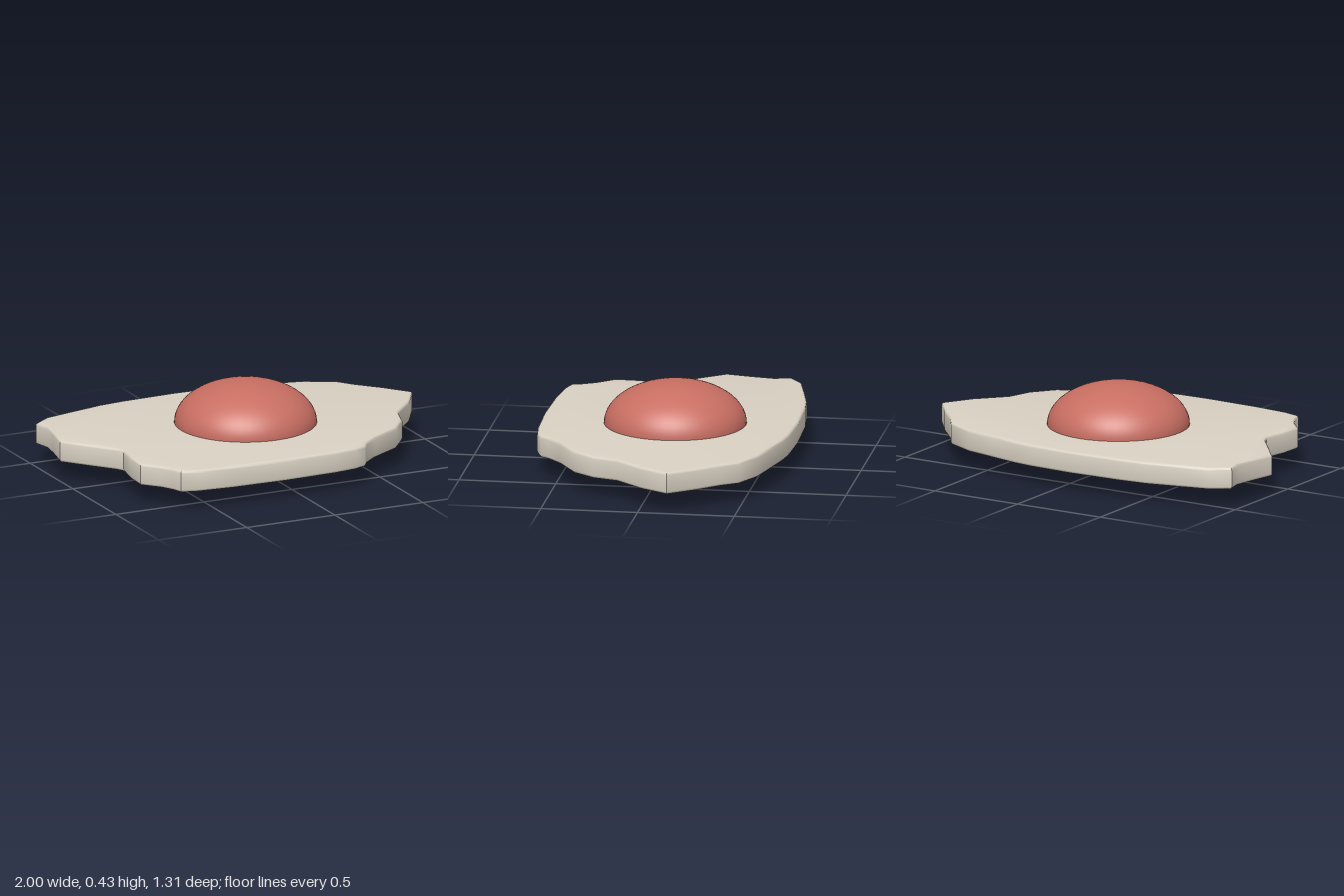
import * as THREE from 'three';
import { toCreasedNormals } from 'three/addons/utils/BufferGeometryUtils.js';

export function createModel() {
  const group = new THREE.Group();
  const white = new THREE.MeshStandardMaterial({ name: 'eggWhite', color: 0xd9d1c3 });
  const red = new THREE.MeshStandardMaterial({ name: 'yolkRed', color: 0xc86e62 });

  // Irregular slab outline as [x, z] points
  const outline = [
    [-1, -0.15], [-0.97, -0.29], [-0.952, -0.4], [-0.972, -0.49], [-0.88, -0.557],
    [-0.7, -0.6], [-0.54, -0.635], [-0.4, -0.65], [-0.1, -0.66], [0.15, -0.65],
    [0.25, -0.635], [0.42, -0.597], [0.58, -0.56], [0.73, -0.485], [0.79, -0.4],
    [0.9, -0.28], [1, -0.15], [0.91, 0], [0.78, 0.14], [0.74, 0.27],
    [0.65, 0.385], [0.48, 0.485], [0.4, 0.555], [0.37, 0.6], [0.3, 0.627],
    [0.18, 0.642], [-0.1, 0.652], [-0.4, 0.644], [-0.59, 0.627], [-0.68, 0.602],
    [-0.695, 0.55], [-0.73, 0.485], [-0.81, 0.395], [-0.805, 0.27], [-0.78, 0.14],
    [-0.8, 0.1], [-0.91, -0.035],
  ];
  const shape = new THREE.Shape(outline.map(([x, z]) => new THREE.Vector2(x, z)));

  // Flat slab with a small rounded rim, y from 0.10 to 0.215
  const bevel = 0.014;
  const slab = new THREE.ExtrudeGeometry(shape, {
    depth: 0.115 - 2 * bevel,
    bevelSize: bevel,
    bevelThickness: bevel,
    bevelOffset: -bevel,
    bevelSegments: 3,
  });
  slab.rotateX(Math.PI / 2).translate(0, 0.215 - bevel, 0);
  const eggWhite = new THREE.Mesh(toCreasedNormals(slab, 0.65), white);
  eggWhite.name = 'eggWhite';

  // Squashed yolk passing through the slab
  const yolk = new THREE.Mesh(new THREE.SphereGeometry(1, 48, 32), red);
  yolk.name = 'yolk';
  yolk.scale.set(0.365, 0.216, 0.365);
  yolk.position.set(0, 0.216, -0.04);

  group.add(eggWhite, yolk);
  return group;
}
